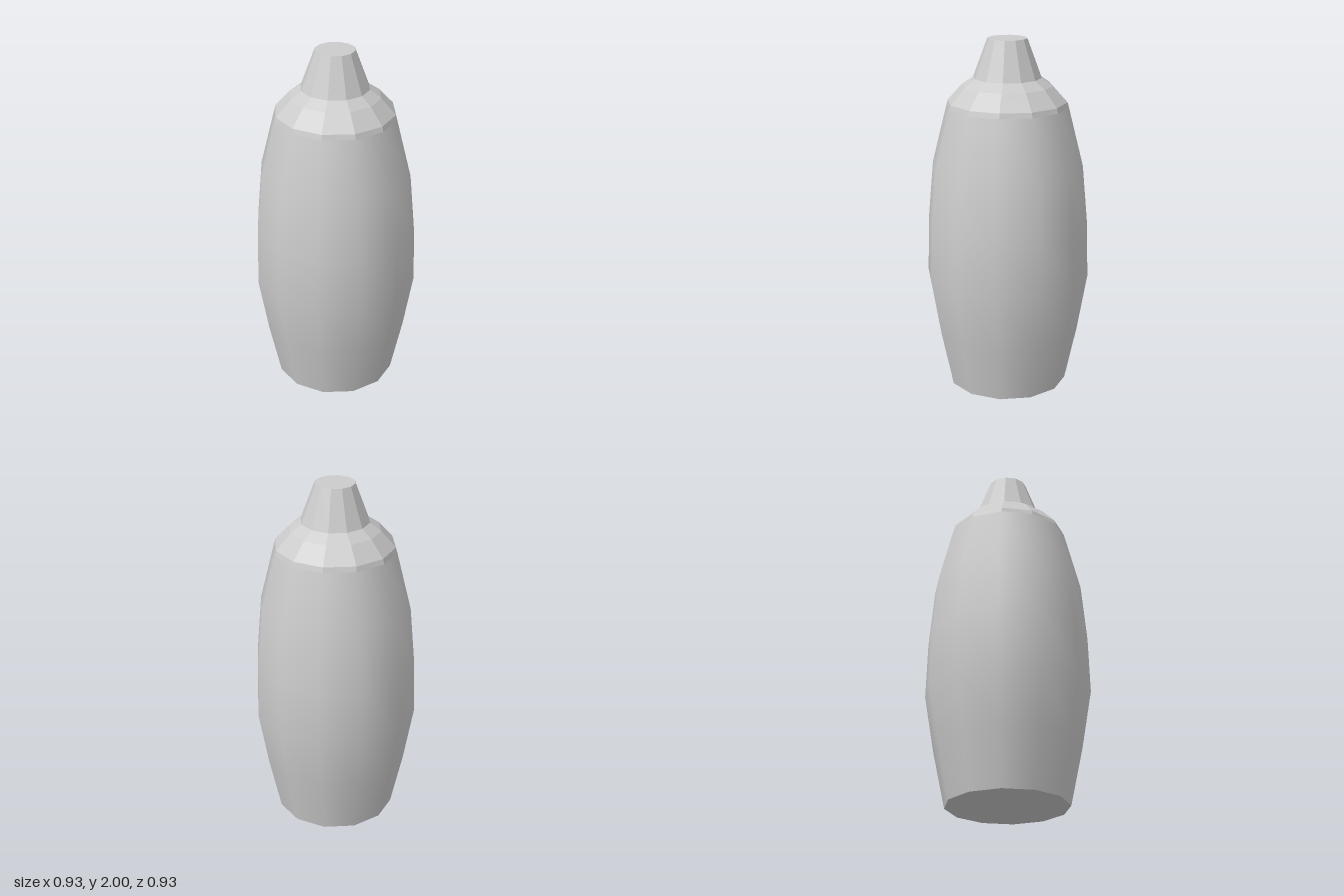
import * as THREE from 'three';

const SIDES = 12;

// Revolve [radius, height] pairs, listed from bottom to top.
function revolve(name, profile, flatShading) {
  const points = profile.map(([r, y]) => new THREE.Vector2(r, y));
  const material = new THREE.MeshStandardMaterial({ color: 0xcccccc, flatShading });
  const mesh = new THREE.Mesh(new THREE.LatheGeometry(points, SIDES), material);
  mesh.name = name;
  return mesh;
}

export function createModel() {
  const group = new THREE.Group();
  group.name = 'bottle';

  // Smooth swelling body with a separate flat base
  group.add(revolve('body', [
    [0.34, 0], [0.408, 0.32], [0.463, 0.645], [0.454, 0.965], [0.424, 1.295], [0.341, 1.625],
  ], false));
  group.add(revolve('base', [[0, 0], [0.34, 0]], true));

  // Faceted collar: narrow rim, shoulder and shallow upper slope
  group.add(revolve('collar', [
    [0.341, 1.625], [0.333, 1.653], [0.252, 1.742], [0.19, 1.785],
  ], true));

  // Tapered nozzle with a closed tip
  group.add(revolve('nozzle', [[0.19, 1.785], [0.11, 2], [0, 2]], true));

  return group;
}
